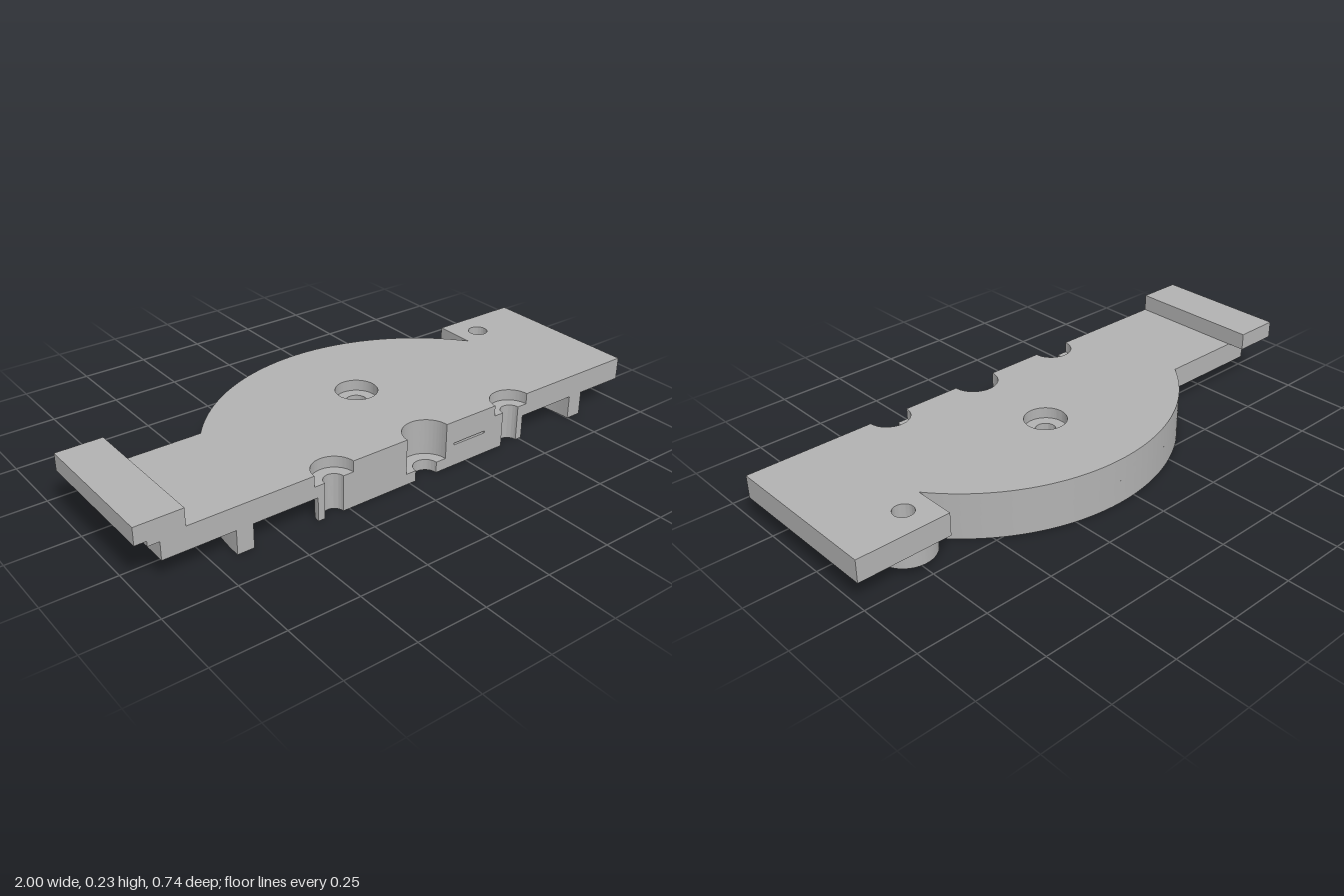
import * as THREE from 'three';
import { toCreasedNormals } from 'three/addons/utils/BufferGeometryUtils.js';

const FRONT = -0.37;   // front edge in shape space (shape y = -z)
const CX = 0.07;       // axis of the round body
const BOLTS = [-0.31, 0.45];
const PIN = [0.755, 0.125];

export function createModel() {
  const model = new THREE.Group();
  model.name = 'halfDiscBracket';
  const grey = new THREE.MeshStandardMaterial({ color: 0xb2b2b2 });
  grey.name = 'matteGrey';

  const add = (name, geometry) => {
    const mesh = new THREE.Mesh(geometry, grey);
    mesh.name = name;
    model.add(mesh);
  };

  // Raise a plan outline from height y0 to y1
  const slab = (name, shape, y0, y1) => {
    const g = new THREE.ExtrudeGeometry(shape, { depth: y1 - y0, bevelEnabled: false, curveSegments: 48 });
    g.rotateX(-Math.PI / 2);
    g.translate(0, y0, 0);
    add(name, toCreasedNormals(g, 0.5));
  };

  const box = (name, x0, x1, y0, y1, z0, z1) => {
    const g = new THREE.BoxGeometry(x1 - x0, y1 - y0, z1 - z0);
    g.translate((x0 + x1) / 2, (y0 + y1) / 2, (z0 + z1) / 2);
    add(name, g);
  };

  const circle = (x, y, r) => new THREE.Path().absarc(x, y, r, 0, Math.PI * 2, true);

  // Half ring cut off flat at the front edge
  const halfRing = (name, x, outer, inner, y0, y1) => {
    const s = new THREE.Shape();
    s.absarc(x, FRONT, outer, 0, Math.PI, false);
    s.absarc(x, FRONT, inner, Math.PI, 0, true);
    s.closePath();
    slab(name, s, y0, y1);
  };

  // Main plate outline with half-round notches and holes
  const plateShape = (boltRadius, centreRadius) => {
    const s = new THREE.Shape();
    s.moveTo(-0.92, FRONT);
    for (const [x, r] of [[BOLTS[0], boltRadius], [CX, 0.085], [BOLTS[1], boltRadius]]) {
      s.lineTo(x - r, FRONT);
      s.absarc(x, FRONT, r, Math.PI, 0, true);
    }
    s.lineTo(1, FRONT);
    s.lineTo(1, 0.23);
    s.lineTo(0.66, 0.23);
    s.absarc(CX, FRONT, 0.74, Math.acos(0.59 / 0.74), Math.PI - Math.asin(0.44 / 0.74), false);
    s.lineTo(-0.92, 0.07);
    s.closePath();
    s.holes.push(circle(CX, 0.01, centreRadius), circle(PIN[0], PIN[1], 0.036));
    return s;
  };
  slab('plateLowerLayer', plateShape(0.036, 0.036), 0.087, 0.13);
  slab('plateCounterboreLayer', plateShape(0.075, 0.075), 0.13, 0.17);

  // Stepped lip and raised end block
  box('endLip', -0.96, -0.9, 0.152, 0.17, -0.07, 0.37);
  box('endBlock', -1, -0.835, 0.17, 0.232, -0.135, 0.37);

  // Rim below the round body
  halfRing('outerRim', CX, 0.74, 0.68, 0, 0.087);

  // Inner rib and stepped hub
  halfRing('innerRib', CX, 0.34, 0.3, 0.04, 0.087);
  halfRing('hubUpper', CX, 0.12, 0.085, 0.04, 0.087);
  halfRing('hubLower', CX, 0.12, 0.045, 0, 0.04);

  // Bolt sleeves and the webs joining them to the hub
  for (const x of BOLTS) halfRing('boltSleeve', x, 0.062, 0.036, 0, 0.087);
  box('leftWeb', 0.175, 0.4, 0, 0.08, 0.34, 0.37);
  box('leftWebTop', 0.33, 0.4, 0.08, 0.087, 0.34, 0.37);
  box('rightWeb', -0.26, -0.035, 0, 0.087, 0.34, 0.37);

  // Round boss with a hexagonal nut pocket
  const boss = new THREE.Shape();
  boss.absarc(PIN[0], PIN[1], 0.1, 0, Math.PI * 2, false);
  const hex = new THREE.Path();
  for (let i = 0; i < 6; i++) {
    const a = -i * Math.PI / 3;
    const x = PIN[0] + 0.064 * Math.cos(a), y = PIN[1] + 0.064 * Math.sin(a);
    if (i) hex.lineTo(x, y); else hex.moveTo(x, y);
  }
  hex.closePath();
  boss.holes.push(hex);
  slab('nutBoss', boss, 0.028, 0.087);

  return model;
}
